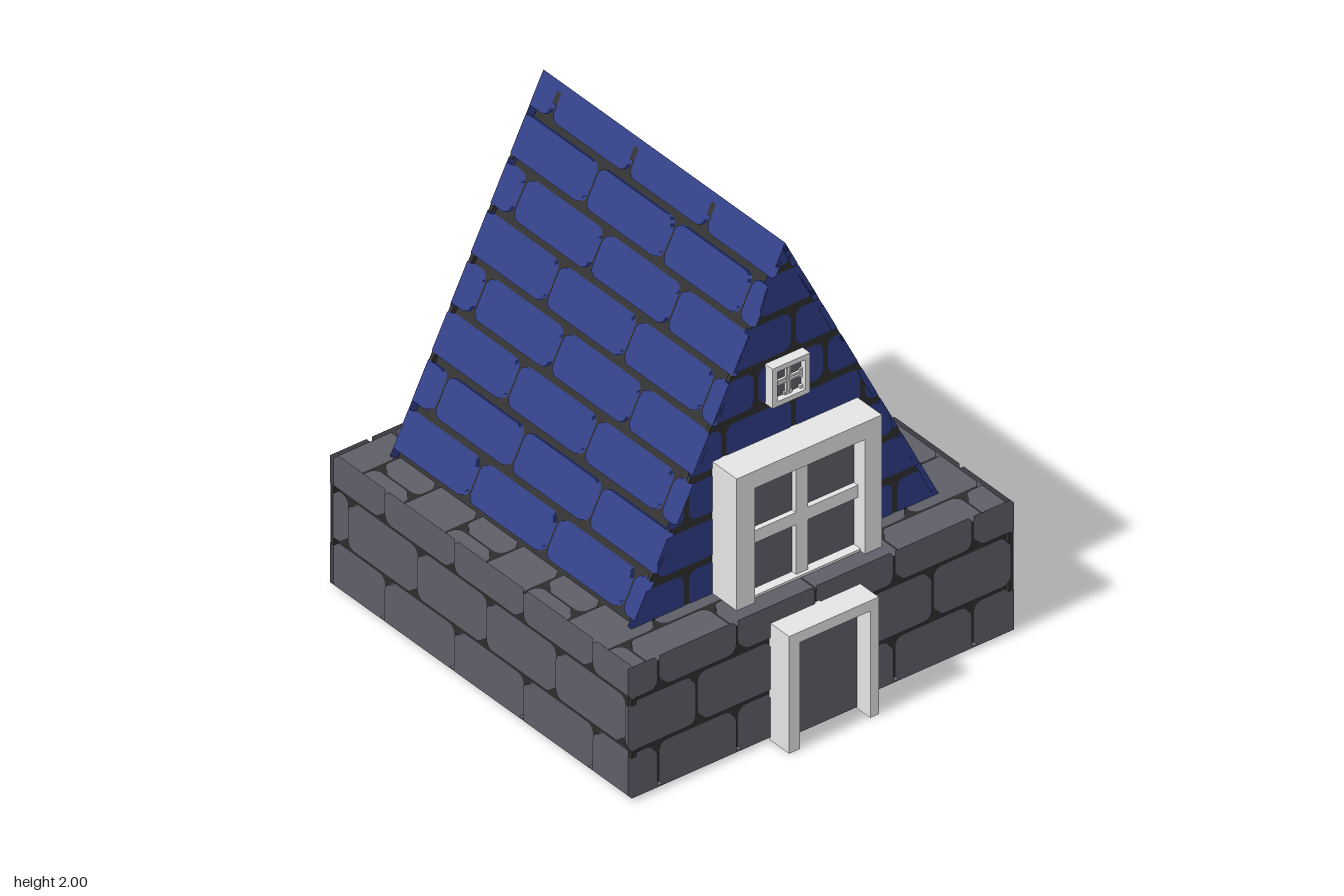
import * as THREE from 'three';
import { mergeGeometries } from 'three/addons/utils/BufferGeometryUtils.js';

const mat = (name, color) => new THREE.MeshStandardMaterial({ name, color });

const DEPTH = 0.022; // how far bricks stand out of the mortar

// rounded brick outline, counter-clockwise
function brickOutline(u0, u1, v0, v1) {
  const r = Math.min(0.035, (u1 - u0) / 3, (v1 - v0) / 3);
  const corners = [[u1 - r, v1 - r], [u0 + r, v1 - r], [u0 + r, v0 + r], [u1 - r, v0 + r]];
  const pts = [];
  corners.forEach(([cu, cv], q) => {
    for (let i = 0; i <= 4; i++) {
      const a = (q + i / 4) * Math.PI / 2;
      pts.push([cu + r * Math.cos(a), cv + r * Math.sin(a)]);
    }
  });
  return pts;
}

// cut an outline to a convex counter-clockwise region
function clip(pts, region) {
  region.forEach((a, i) => {
    const b = region[(i + 1) % region.length];
    const side = p => (b[0] - a[0]) * (p[1] - a[1]) - (b[1] - a[1]) * (p[0] - a[0]);
    const out = [];
    pts.forEach((p, k) => {
      const q = pts[(k + 1) % pts.length];
      const sp = side(p), sq = side(q);
      if (sp >= 0) out.push(p);
      if ((sp > 0 && sq < 0) || (sp < 0 && sq > 0)) {
        const t = sp / (sp - sq);
        out.push([p[0] + t * (q[0] - p[0]), p[1] + t * (q[1] - p[1])]);
      }
    });
    pts = out;
  });
  return pts;
}

// bricks between the course lines, outer face at local z = 0; phases alternate from course to course
function brickwork(region, lines, phases, period) {
  const geos = [];
  for (let r = 0; r < lines.length - 1; r++) {
    for (let k = -7; k < 7; k++) {
      const u = phases[r % 2] + k * period;
      const outline = brickOutline(u + 0.013, u + period - 0.013, lines[r] + 0.017, lines[r + 1] - 0.017);
      const pts = clip(outline, region);
      if (pts.length < 3) continue;
      const shape = new THREE.Shape(pts.map(p => new THREE.Vector2(...p)));
      if (Math.abs(THREE.ShapeUtils.area(shape.getPoints())) < 1e-4) continue;
      geos.push(new THREE.ExtrudeGeometry(shape, { depth: DEPTH, bevelEnabled: false }));
    }
  }
  const geo = mergeGeometries(geos).translate(0, 0, -DEPTH);
  // soft shading: brick edges are lit like the brick face
  const normal = geo.attributes.normal;
  for (let i = 0; i < normal.count; i++) normal.setXYZ(i, 0, 0, 1);
  return geo;
}

const rect = (u0, u1, v0, v1) => [[u0, v0], [u1, v0], [u1, v1], [u0, v1]];

export function createModel() {
  const stone = mat('stone', 0x5e5e68);
  const blue = mat('blueTile', 0x2d3c86);
  const mortar = mat('mortar', 0x2d2d2d);
  const trim = mat('paleTrim', 0xe4e4e4);
  const model = new THREE.Group();
  model.name = 'house';

  const add = (name, geo, material, parent = model) => {
    const m = new THREE.Mesh(geo, material);
    m.name = name;
    parent.add(m);
    return m;
  };
  const box = (name, material, x0, x1, y0, y1, z0, z1, parent) => {
    const m = add(name, new THREE.BoxGeometry(x1 - x0, y1 - y0, z1 - z0), material, parent);
    m.position.set((x0 + x1) / 2, (y0 + y1) / 2, (z0 + z1) / 2);
    return m;
  };

  // stone base: floor, mortar core, corner posts and four brick walls
  const D = DEPTH, BX = -0.005, BZ = -0.1, HX = 0.895, HZ = 0.9, TOP = 0.58;
  box('baseFloor', stone, BX - HX + 0.001, BX + HX - 0.001, 0.0145, 0.02, BZ - HZ + 0.001, BZ + HZ - 0.001);
  box('baseCore', mortar, BX - HX + D, BX + HX - D, 0.018, TOP - D, BZ - HZ + D, BZ + HZ - D);
  for (const sx of [1, -1]) {
    for (const sz of [1, -1]) {
      const post = add('cornerMortar', new THREE.BoxGeometry(D, TOP - 0.022, D), mortar);
      post.position.set(BX + sx * (HX - D / 2 - 0.001), TOP / 2 + 0.009, BZ + sz * (HZ - D / 2 - 0.001));
    }
  }
  const wallLines = [-0.2, 0.208, 0.44, 0.8];
  const frontWall = brickwork(rect(-HX, HX, 0.015, TOP), wallLines, [-0.025, 0.155], 0.368);
  const sideWall = brickwork(rect(-HZ + D, HZ - D, 0.015, TOP), wallLines, [0.24, 0.02], 0.413);
  for (const s of [1, -1]) {
    const end = add(s > 0 ? 'frontBaseBricks' : 'backBaseBricks', frontWall, stone);
    end.position.set(BX, 0, BZ + s * HZ);
    end.rotation.y = s > 0 ? 0 : Math.PI;
    const side = add(s > 0 ? 'leftBaseBricks' : 'rightBaseBricks', sideWall, stone);
    side.position.set(BX + s * HX, 0, BZ);
    side.rotation.y = s * Math.PI / 2;
  }

  // paving on top of the base (v runs towards the back)
  const paving = brickwork(rect(BX - HX + D, BX + HX - D, -0.8 + D, 1 - D),
    [-0.95, -0.62, -0.375, -0.13, 0.11, 0.355, 0.6, 0.845, 1.2], [-0.02, 0.17], 0.393);
  const top = add('baseTopBricks', paving, stone);
  top.rotation.x = -Math.PI / 2;
  top.position.y = TOP;

  // steep roof: mortar core, flush mortar gables, ridge
  const CX = -0.01, APEX = 2, HALF = 0.72, H = APEX - TOP;
  const L = Math.hypot(HALF, H);
  const prism = (inset, z0, z1, yBase) => {
    const peak = APEX - inset * L / HALF;
    const w = (peak - yBase) * HALF / H;
    const shape = new THREE.Shape([[-w, yBase], [w, yBase], [0, peak]].map(p => new THREE.Vector2(...p)));
    return new THREE.ExtrudeGeometry(shape, { depth: z1 - z0, bevelEnabled: false }).translate(CX, 0, z0);
  };
  add('roofCore', prism(D, -0.84, 0.56, 0.555), mortar);
  add('frontGableMortar', prism(0.001, 0.56, 0.577, TOP), mortar);
  add('backGableMortar', prism(0.001, -0.857, -0.84, TOP), mortar);
  add('ridgeMortar', prism(0.002, -0.84, 0.56, 1.92), mortar);
  add('roofRidge', prism(0, -0.8595, 0.5795, 1.968), blue);

  // gable bricks, front and back
  const g = 0.001;
  const gable = brickwork([[-HALF + g, TOP], [HALF - g, TOP], [0, APEX - 2 * g]],
    [0.4, 0.735, 0.928, 1.12, 1.31, 1.5, 1.695, 1.888, 2.2], [0.19, 0.04], 0.325);
  add('frontGableBricks', gable, blue).position.set(CX, 0, 0.58);
  const backGable = add('backGableBricks', gable, blue);
  backGable.position.set(CX, 0, -0.86);
  backGable.rotation.y = Math.PI;

  // sloping tile courses, one set for each side
  const slopeLines = [0.595, 0.77, 0.95, 1.13, 1.312, 1.495, 1.675, 1.855, 2.2].map(y => (y - TOP) * L / H);
  for (const s of [1, -1]) {
    const geo = s > 0
      ? brickwork(rect(-0.58, 0.86, 0, L - 0.017), slopeLines, [0.13, 0.28], 0.44)
      : brickwork(rect(-0.86, 0.58, 0, L - 0.017), slopeLines, [0.03, 0.175], 0.46);
    const u = new THREE.Vector3(0, 0, -s);
    const v = new THREE.Vector3(-s * HALF / L, H / L, 0);
    const n = new THREE.Vector3(s * H / L, HALF / L, 0);
    const frame = new THREE.Matrix4().makeBasis(u, v, n).setPosition(CX + s * HALF, TOP, 0);
    add(s > 0 ? 'leftRoofTiles' : 'rightRoofTiles', geo.applyMatrix4(frame), blue);
  }

  // door with deep frame
  const door = new THREE.Group();
  door.name = 'door';
  model.add(door);
  box('doorPanel', stone, -0.2, 0.13, 0.005, 0.475, 0.79, 0.83, door);
  box('doorJambRight', trim, -0.25, -0.2, 0, 0.475, 0.79, 0.91, door);
  box('doorJambLeft', trim, 0.13, 0.17, 0, 0.475, 0.79, 0.91, door);
  box('doorLintel', trim, -0.25, 0.17, 0.475, 0.522, 0.79, 0.91, door);

  // large window standing on the base
  const win = new THREE.Group();
  win.name = 'largeWindow';
  model.add(win);
  box('windowPane', stone, -0.265, 0.25, 0.58, 1.09, 0.57, 0.66, win);
  box('windowJambRight', trim, -0.35, -0.265, 0.58, 1.09, 0.57, 0.725, win);
  box('windowJambLeft', trim, 0.25, 0.33, 0.58, 1.09, 0.57, 0.725, win);
  box('windowHead', trim, -0.35, 0.33, 1.09, 1.167, 0.57, 0.725, win);
  box('windowSill', trim, -0.265, 0.25, 0.58, 0.59, 0.65, 0.7, win);
  box('windowMullion', trim, -0.04, 0.015, 0.59, 1.09, 0.65, 0.685, win);
  box('windowTransom', trim, -0.265, 0.25, 0.81, 0.865, 0.65, 0.683, win);

  // small attic window with a double-barred cross
  const attic = new THREE.Group();
  attic.name = 'atticWindow';
  attic.position.set(-0.013, 1.408, 0);
  model.add(attic);
  box('atticPane', stone, -0.07, 0.07, -0.07, 0.07, 0.57, 0.595, attic);
  for (const s of [-1, 1]) {
    const a = s < 0 ? -0.088 : 0.066, b = s < 0 ? -0.066 : 0.088;
    box('atticFrameSide', trim, a, b, -0.088, 0.088, 0.57, 0.622, attic);
    box('atticFrameRail', trim, -0.066, 0.066, a, b, 0.57, 0.622, attic);
    const c = s * 0.007;
    box('atticMullion', trim, c - 0.004, c + 0.004, -0.066, 0.066, 0.59, 0.606, attic);
    box('atticTransom', trim, -0.066, 0.066, c - 0.004, c + 0.004, 0.59, 0.605, attic);
    box('atticMullionEnd', trim, -0.02, 0.02, s * 0.06 - 0.006, s * 0.06 + 0.006, 0.59, 0.604, attic);
    box('atticTransomEnd', trim, s * 0.06 - 0.006, s * 0.06 + 0.006, -0.02, 0.02, 0.59, 0.604, attic);
    for (const t of [-1, 1]) {
      box('atticCornerStud', trim, s * 0.06 - 0.007, s * 0.06 + 0.007, t * 0.06 - 0.007, t * 0.06 + 0.007, 0.59, 0.607, attic);
    }
  }
  return model;
}
